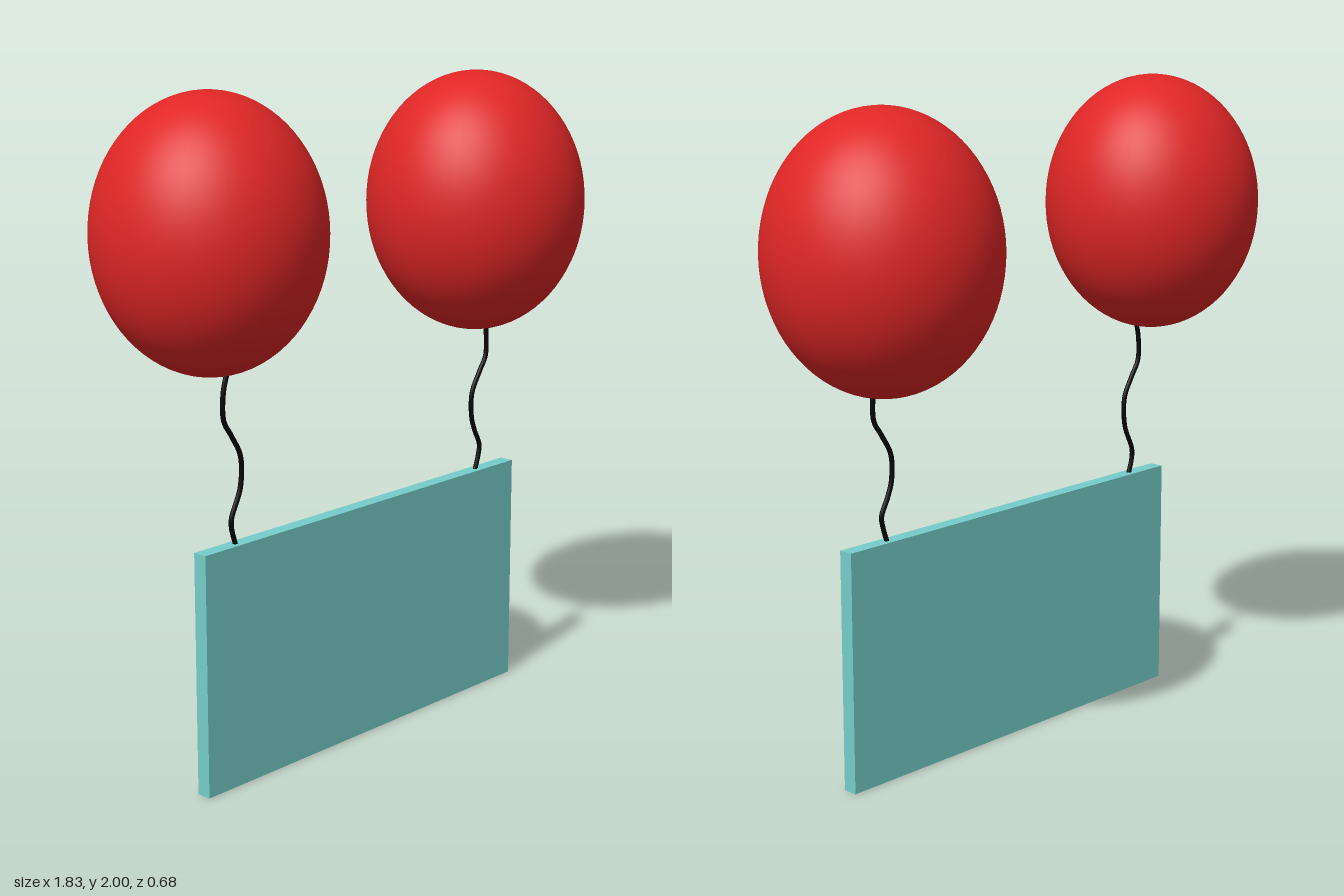
import * as THREE from 'three';

const red = new THREE.MeshStandardMaterial({ name: 'balloonRed', color: 0xe02626 });
const teal = new THREE.MeshStandardMaterial({ name: 'boardTeal', color: 0x76cdcb });
const black = new THREE.MeshStandardMaterial({ name: 'stringBlack', color: 0x050505 });

const BOARD_Z = 0.061;

// Slightly tall ellipsoid balloon
function makeBalloon(name, x, y, z, radius, halfHeight) {
  const mesh = new THREE.Mesh(new THREE.SphereGeometry(1, 64, 40), red);
  mesh.name = name;
  mesh.scale.set(radius, halfHeight, radius);
  mesh.position.set(x, y, z);
  return mesh;
}

// Wavy string in the plane of the board, given as [x, y] points
function makeString(name, points) {
  const curve = new THREE.CatmullRomCurve3(points.map(([x, y]) => new THREE.Vector3(x, y, BOARD_Z)));
  const mesh = new THREE.Mesh(new THREE.TubeGeometry(curve, 80, 0.0075, 10), black);
  mesh.name = name;
  return mesh;
}

export function createModel() {
  const model = new THREE.Group();
  model.name = 'balloonSign';

  // Hanging board
  const board = new THREE.Mesh(new THREE.BoxGeometry(1.377, 0.725, 0.045), teal);
  board.name = 'board';
  board.position.set(-0.011, 0.3625, BOARD_Z);
  model.add(board);

  // Balloons: the right one floats a little higher
  model.add(makeBalloon('rightBalloon', -0.588, 1.605, 0.004, 0.332, 0.395));
  model.add(makeBalloon('leftBalloon', 0.573, 1.572, 0.001, 0.341, 0.405));

  // Strings, from inside each balloon down into the board
  model.add(makeString('rightString', [
    [-0.582, 1.23], [-0.599, 1.17], [-0.599, 1.09], [-0.569, 1.04], [-0.535, 0.976],
    [-0.537, 0.886], [-0.574, 0.8], [-0.574, 0.772], [-0.557, 0.715],
  ]));
  model.add(makeString('leftString', [
    [0.561, 1.19], [0.561, 1.087], [0.532, 1.04], [0.496, 0.976], [0.495, 0.9],
    [0.51, 0.855], [0.536, 0.8], [0.532, 0.77], [0.514, 0.715],
  ]));

  return model;
}
